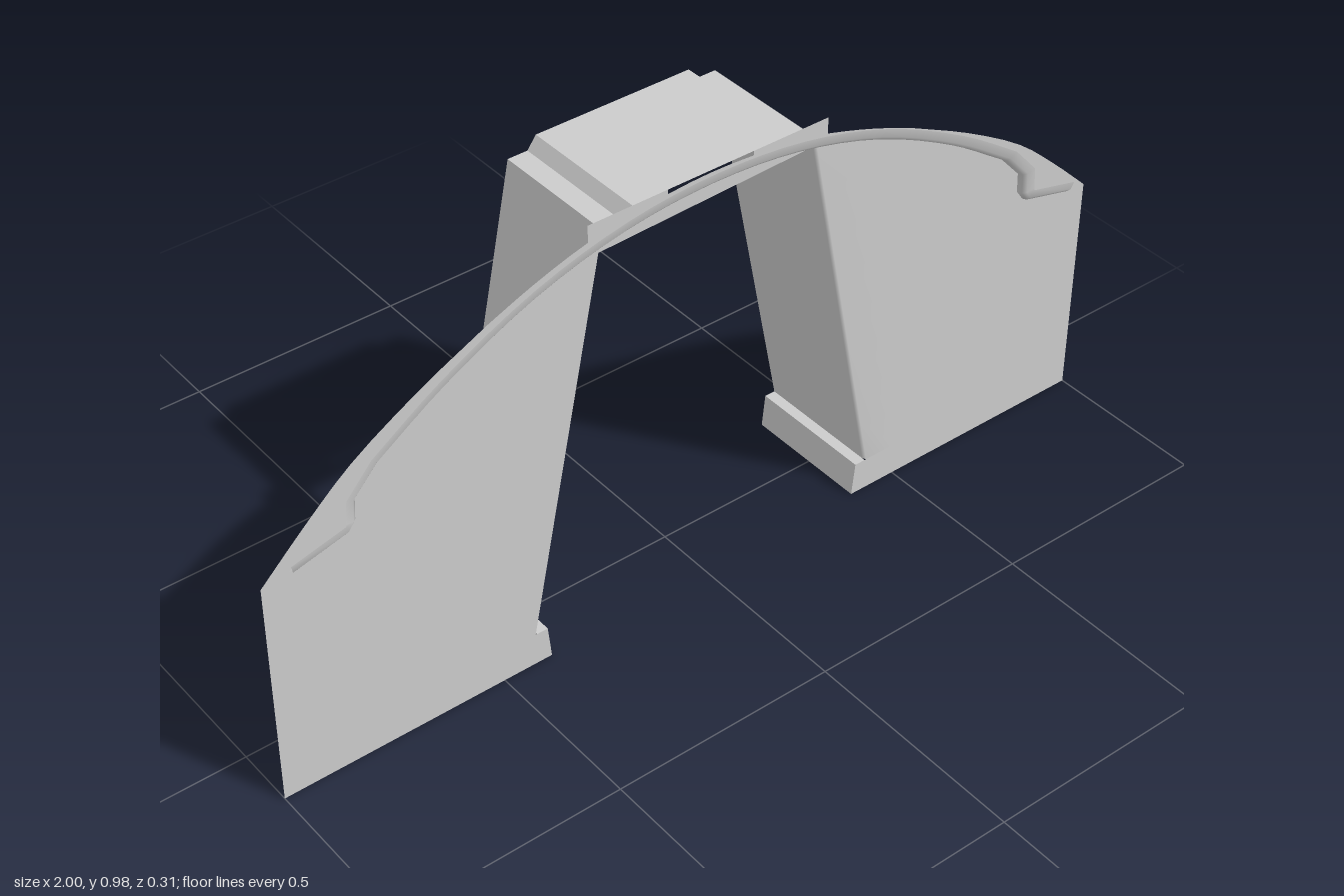
import * as THREE from 'three';

const FRONT = 0.135, BACK = -0.155;
const material = new THREE.MeshStandardMaterial({ color: 0xcccccc, side: THREE.DoubleSide });

// Skin a list of equal-length cross-sections (arrays of Vector3)
function loft(sections, smooth) {
  const n = sections[0].length, index = [];
  for (let i = 0; i < sections.length - 1; i++) {
    for (let j = 0; j < n - 1; j++) {
      const a = i * n + j, b = a + n;
      index.push(a, a + 1, b, a + 1, b + 1, b);
    }
  }
  let g = new THREE.BufferGeometry().setFromPoints(sections.flat());
  g.setIndex(index);
  if (!smooth) g = g.toNonIndexed();
  g.computeVertexNormals();
  return g;
}

// Folded sheet: a polyline in x, y drawn straight from front to back
function foldedSheet(points) {
  return loft([BACK, FRONT].map(z => points.map(([x, y]) => new THREE.Vector3(x, y, z))), false);
}

function flatPanel(points) {
  const shape = new THREE.Shape(points.map(([x, y]) => new THREE.Vector2(x, y)));
  return new THREE.ShapeGeometry(shape).translate(0, 0, FRONT);
}

const spline = (pts) => new THREE.CatmullRomCurve3(pts.map(([x, y]) => new THREE.Vector3(x, y, 0)));
const mirrorPath = (half) => [...half, ...half.slice(0, -1).reverse().map(([x, y]) => [-x, y])];

export function createModel() {
  const model = new THREE.Group();
  const add = (name, geometry) => {
    const mesh = new THREE.Mesh(geometry, material);
    mesh.name = name;
    model.add(mesh);
  };

  // Top edge of the front panel, from the outer corner to the strip beside the opening
  const outerArch = spline([[1, 0.52], [0.9, 0.615], [0.8, 0.7], [0.65, 0.79], [0.5, 0.863]])
    .getPoints(12).map(p => [p.x, p.y]);
  const crownArch = spline(mirrorPath([[0.5, 0.863], [0.4, 0.903], [0.28, 0.94], [0.14, 0.963], [0, 0.972]]))
    .getPoints(24).map(p => [p.x, p.y]);
  const openingArch = spline([[-0.248, 0.925], [-0.125, 0.943], [0, 0.95], [0.125, 0.943], [0.248, 0.925]])
    .getPoints(12).map(p => [p.x, p.y]);

  for (const s of [1, -1]) {
    const side = s > 0 ? 'left' : 'right';
    const flip = (pts) => pts.map(([x, y]) => [s * x, y]);

    // Outer front panel and the panel in front of the foot
    add(side + 'FrontPanel', flatPanel(flip([[0.5, 0], [1, 0], ...outerArch])));
    add(side + 'FootPanel', flatPanel(flip([[0.387, 0], [0.5, 0], [0.5, 0.075], [0.395, 0.075]])));

    // Leaning jamb, softly shaded round the corner into the front panel
    const rows = [];
    for (let i = 0; i <= 8; i++) {
      const t = i / 8;
      const x = THREE.MathUtils.lerp(0.42, 0.245, t);
      const y = THREE.MathUtils.lerp(0.075, 0.95, t);
      const yOuter = THREE.MathUtils.lerp(0.075, 0.855, t);
      const row = [[x, y, BACK], [x, y, 0.09], [x, y, FRONT - 0.008],
        [x + 0.004, y, FRONT], [0.5, yOuter, FRONT]]
        .map(([px, py, pz]) => new THREE.Vector3(s * px, py, pz));
      rows.push(s > 0 ? row : row.reverse());
    }
    add(side + 'Jamb', loft(rows, true));

    // Small stepped foot under the jamb
    const foot = flip([[0.42, 0.075], [0.395, 0.075], [0.387, 0]]);
    add(side + 'Foot', foldedSheet(s > 0 ? foot : foot.reverse()));
  }

  // Crown of the front panel above the opening
  add('crownPanel', flatPanel([...crownArch, [-0.5, 0.855], [-0.249, 0.95],
    ...openingArch, [0.249, 0.95], [0.5, 0.855]]));

  // Upright tabs at the ends of the lintel
  for (const s of [1, -1]) {
    add('lintelTab', flatPanel([[s * 0.1, 0.963], [s * 0.28, 0.938], [s * 0.28, 0.977], [s * 0.1, 0.977]]));
  }

  // Lintel with a raised middle
  add('lintel', foldedSheet([[0.245, 0.95], [0.2, 0.95], [0.18, 0.977],
    [-0.18, 0.977], [-0.2, 0.95], [-0.245, 0.95]].reverse()));

  // Flared drip rail along the arch, with a hooked end on each side
  const arch = spline(mirrorPath([[0.75, 0.685], [0.6, 0.783], [0.4, 0.88], [0.2, 0.935], [0, 0.952]]))
    .getPoints(32).map(p => [p.x, p.y]);
  const hook = [[0.94, 0.53], [0.82, 0.56], [0.802, 0.585], [0.8, 0.63]];
  const path = [...hook, ...arch, ...hook.slice().reverse().map(([x, y]) => [-x, y])];
  const profile = [[0, 0.133], [0.004, 0.146], [0.012, 0.153], [0.03, 0.156]];
  const sections = path.map(([x, y], i) => {
    const a = path[Math.max(i - 1, 0)], b = path[Math.min(i + 1, path.length - 1)];
    const out = new THREE.Vector2(b[1] - a[1], a[0] - b[0]).normalize();
    return profile.map(([d, z]) => new THREE.Vector3(x + out.x * d, y + out.y * d, z));
  });
  add('dripRail', loft(sections.reverse(), true));

  return model;
}
